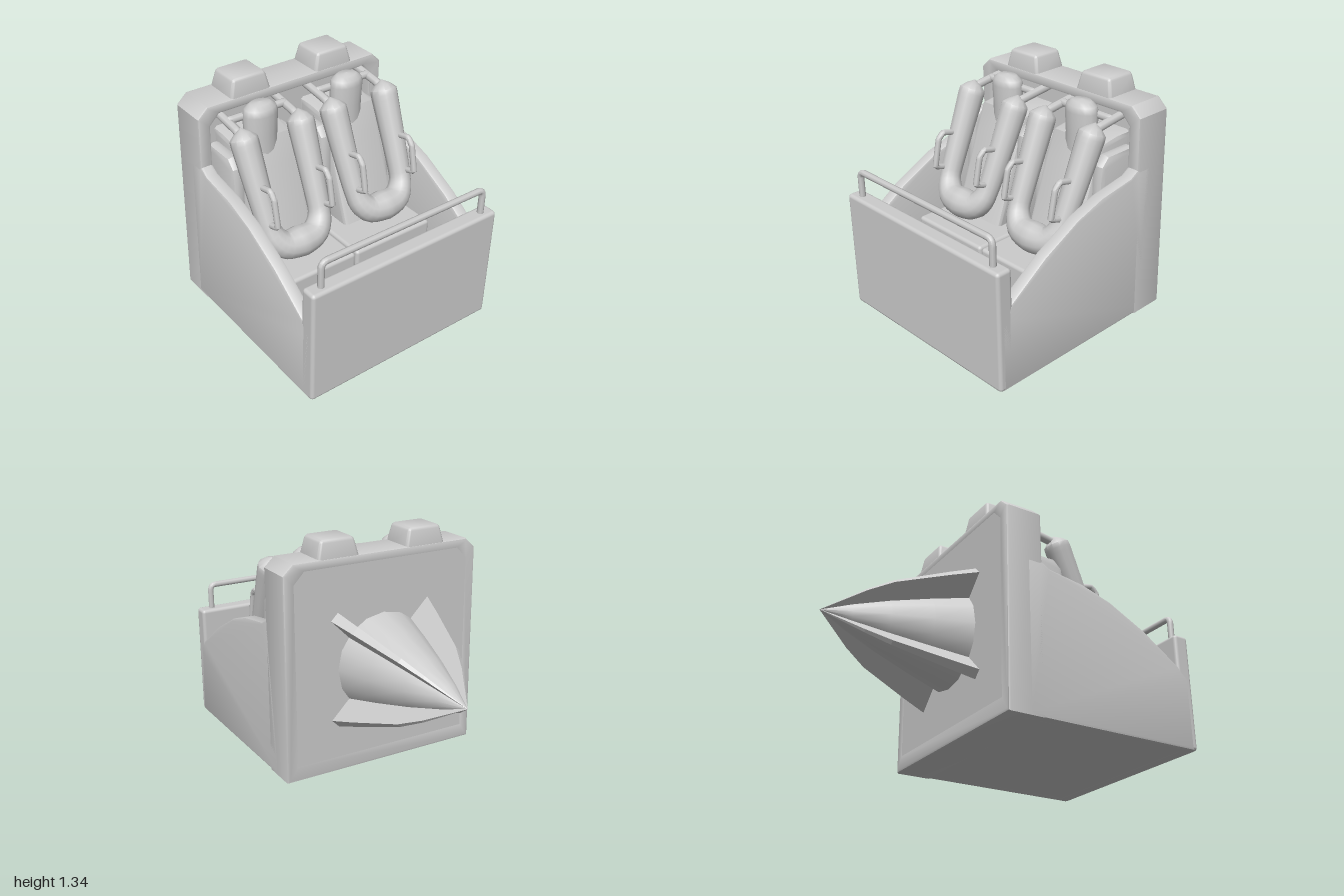
import * as THREE from 'three';
import { toCreasedNormals } from 'three/addons/utils/BufferGeometryUtils.js';
import { RoundedBoxGeometry } from 'three/addons/geometries/RoundedBoxGeometry.js';

const grey = new THREE.MeshStandardMaterial({ color: 0xcccccc });
const V = (x, y, z) => new THREE.Vector3(x, y, z);
const points2 = (list) => list.map(([x, y]) => new THREE.Vector2(x, y));

function add(parent, name, geometry, x = 0, y = 0, z = 0) {
  const mesh = new THREE.Mesh(geometry, grey);
  mesh.name = name;
  mesh.position.set(x, y, z);
  parent.add(mesh);
  return mesh;
}

// Box given by its limits, with softened edges
function box(parent, name, [x0, x1], [y0, y1], [z0, z1], r = 0.015) {
  const g = new RoundedBoxGeometry(x1 - x0, y1 - y0, z1 - z0, 2, r);
  return add(parent, name, g, (x0 + x1) / 2, (y0 + y1) / 2, (z0 + z1) / 2);
}

// Bevelled slab, centred on its thickness
function slab(shape, thickness, bevel = 0.014) {
  const g = new THREE.ExtrudeGeometry(shape, {
    depth: thickness - 2 * bevel, bevelThickness: bevel, bevelSize: bevel,
    bevelOffset: -bevel, bevelSegments: 2,
  });
  g.translate(0, 0, bevel - thickness / 2);
  return toCreasedNormals(g, 0.6);
}

// Slab from a side profile of [z, y] points, thickness along x
function sideSlab(profile, thickness, bevel) {
  const shape = new THREE.Shape(points2(profile.map(([z, y]) => [-z, y])));
  return slab(shape, thickness, bevel).rotateY(Math.PI / 2);
}

// Round bar along a path; ends close where the radius rule gives zero
function bar(path, segments, radius, sides, rule) {
  const curve = new THREE.CatmullRomCurve3(path, false, 'catmullrom', rule ? 0.45 : 0.08);
  const g = new THREE.TubeGeometry(curve, segments, radius, sides);
  const endRule = (i) => (i === 0 || i === segments ? 0 : 1);
  const pos = g.attributes.position, v = V(0, 0, 0);
  for (let i = 0; i <= segments; i++) {
    const c = curve.getPointAt(i / segments);
    for (let j = 0; j <= sides; j++) {
      const k = i * (sides + 1) + j;
      v.fromBufferAttribute(pos, k).sub(c).multiplyScalar((rule || endRule)(i)).add(c);
      pos.setXYZ(k, v.x, v.y, v.z);
    }
  }
  return toCreasedNormals(g, 0.8);
}

function buildBody() {
  const body = new THREE.Group();
  body.name = 'carBody';
  box(body, 'frontWall', [-0.61, 0.61], [0, 0.685], [0.905, 1], 0.02);
  box(body, 'floor', [-0.6, 0.6], [0.002, 0.15], [-0.2, 0.98], 0.005);

  // Sloping side walls
  const profile = [[0.98, 0], [0.98, 0.42], [0.91, 0.485], [0.68, 0.645], [0.45, 0.765],
    [0.27, 0.825], [0.05, 0.86], [0.0, 0.89], [-0.1, 0.89], [-0.1, 0]];
  for (const s of [-1, 1]) add(body, 'sideWall', sideSlab(profile, 0.075), s * 0.5725);

  // Back frame with a recessed panel
  const frame = new THREE.Shape(points2([[-0.61, 0], [0.61, 0], [0.61, 1.18], [0.55, 1.237],
    [-0.55, 1.237], [-0.61, 1.18]]));
  frame.holes.push(new THREE.Path(points2([[-0.535, 0.1], [-0.535, 1.12], [-0.48, 1.178],
    [0.48, 1.178], [0.535, 1.12], [0.535, 0.1]])));
  add(body, 'backFrame', slab(frame, 0.225), 0, 0, -0.1125);
  box(body, 'backPanel', [-0.56, 0.56], [0.05, 1.205], [-0.2245, -0.1], 0.002);

  // Tapered blocks over the headrests
  for (const s of [-1, 1]) {
    const g = new RoundedBoxGeometry(0.27, 0.16, 0.225, 3, 0.02);
    const p = g.attributes.position;
    for (let i = 0; i < p.count; i++) {
      const t = THREE.MathUtils.clamp((p.getY(i) + 0.02) / 0.1, 0, 1);
      p.setX(i, p.getX(i) * (1 - 0.28 * t));
      p.setZ(i, p.getZ(i) * (1 - 0.2 * t));
    }
    add(body, 'topBlock', toCreasedNormals(g, 0.8), s * 0.275, 1.257, -0.1125);
  }

  // Front handrail
  add(body, 'handrail', bar([V(-0.53, 0.67, 0.955), V(-0.53, 0.8, 0.955), V(-0.5, 0.83, 0.955),
    V(0.5, 0.83, 0.955), V(0.53, 0.8, 0.955), V(0.53, 0.67, 0.955)], 100, 0.018, 8));
  return body;
}

function buildSeat() {
  const seat = new THREE.Group();
  seat.name = 'seat';
  box(seat, 'seatBase', [-0.266, 0.266], [0.1, 0.42], [-0.1, 0.585], 0.02);
  add(seat, 'seatBack', sideSlab([[-0.1, 0.4], [0.36, 0.4], [0.26, 0.68], [0.19, 0.88], [0.13, 1.03],
    [0.0, 1.05], [-0.1, 1.05]], 0.36, 0.025));

  // Headrest
  const head = new THREE.LatheGeometry(points2([[0.1, 0.9], [0.097, 1.05], [0.103, 1.17],
    [0.092, 1.205], [0.06, 1.228], [0, 1.235]]), 16);
  head.scale(1, 1, 0.72);
  add(seat, 'headrest', head, 0, 0, 0.092);

  // Over-the-shoulder restraint, one padded loop
  const half = [V(0.18, 1.175, 0.18), V(0.177, 1.08, 0.222), V(0.168, 0.8, 0.345),
    V(0.155, 0.64, 0.415), V(0.1, 0.565, 0.45)];
  const loop = [...half, V(0, 0.55, 0.455), ...half.map((p) => V(-p.x, p.y, p.z)).reverse()];
  const n = 56;
  const padRadius = (i) => {
    const e = Math.min(i, n - i);
    if (e < 3) return [0, 0.6, 0.98][e];
    return e < 20 ? 1 - 0.012 * (e - 3) : 0.8 + 0.045 * (e - 20);
  };
  add(seat, 'restraintPad', bar(loop, n, 0.076, 12, padRadius));

  for (const s of [-1, 1]) {
    // Side bolster
    add(seat, 'bolster', sideSlab([[-0.05, 0.4], [0.22, 0.4], [0.2, 0.86], [0.19, 0.94], [0.14, 0.99],
      [-0.05, 0.99]], 0.075, 0.025), s * 0.225).rotation.z = s * 0.02;
    // Pivot arm and its cross pin
    add(seat, 'restraintArm', bar([V(s * 0.18, 1.13, 0.2), V(s * 0.18, 1.145, 0.12),
      V(s * 0.18, 1.175, -0.11)], 10, 0.024, 8));
    add(seat, 'pivotPin', bar([V(s * 0.06, 1.16, 0.06), V(s * 0.2, 1.16, 0.06)], 6, 0.022, 8));
    // Grab handle
    add(seat, 'grabHandle', bar([V(s * 0.175, 0.71, 0.42), V(s * 0.175, 0.735, 0.5),
      V(s * 0.175, 0.89, 0.468), V(s * 0.175, 0.922, 0.435), V(s * 0.175, 0.9, 0.34)], 32, 0.017, 8));
  }
  return seat;
}

function buildTailCone() {
  const tail = new THREE.Group();
  tail.name = 'tailCone';
  const cone = new THREE.LatheGeometry(points2([[0.29, 0], [0.225, 0.21], [0.15, 0.43], [0.075, 0.62],
    [0, 0.78]]), 16);
  add(tail, 'coneBody', cone.rotateX(-Math.PI / 2));

  // Four diagonal fins thinning towards the tip
  const outline = new THREE.Shape(points2([[0, 0], [0.44, 0], [0.38, 0.15], [0.255, 0.44], [0.17, 0.57],
    [0, 0.78]]));
  for (let k = 0; k < 4; k++) {
    const g = new THREE.ExtrudeGeometry(outline, { depth: 0.06, bevelEnabled: false });
    g.translate(0, 0, -0.03);
    const p = g.attributes.position;
    for (let i = 0; i < p.count; i++) p.setZ(i, p.getZ(i) * (1 - p.getY(i) / 0.8));
    g.computeVertexNormals();
    g.rotateX(-Math.PI / 2).rotateZ(Math.PI / 4 + k * Math.PI / 2);
    add(tail, 'fin', g);
  }
  tail.position.set(0, 0.605, -0.22);
  return tail;
}

export function createModel() {
  const model = new THREE.Group();
  model.name = 'rideCar';
  model.add(buildBody(), buildTailCone());
  for (const s of [-1, 1]) {
    const seat = buildSeat();
    seat.position.x = s * 0.287 - s * 0.018;
    seat.children.forEach((c) => { if (c.name !== 'seatBase') c.position.x += s * 0.018; });
    model.add(seat);
  }
  return model;
}
